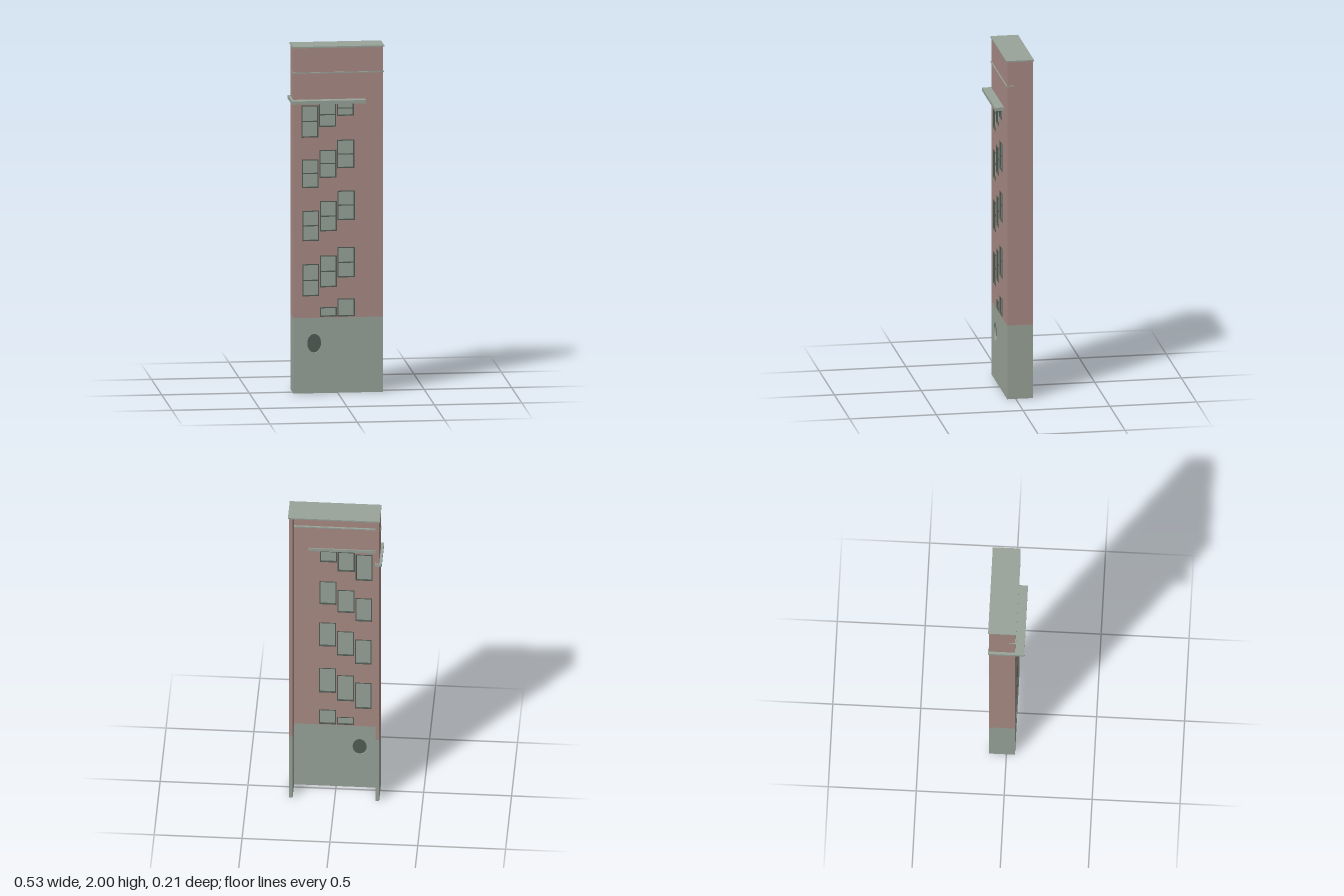
import * as THREE from 'three';

const material = (name, color) => {
  const m = new THREE.MeshStandardMaterial({ color });
  m.name = name;
  return m;
};

export function createModel() {
  const model = new THREE.Group();
  model.name = 'towerFacade';
  const brick = material('dusty red', 0xa88a84);
  const stone = material('grey green', 0x98a399);
  const dark = material('dark grey green', 0x505c54);

  const X0 = -0.253, X1 = 0.259, FRONT = 0.049, BACK = -0.098;
  const T = 0.024, SPLIT = 0.435, TOP = 1.992;

  const add = (name, geometry, mat, parent = model) => {
    const mesh = new THREE.Mesh(geometry, mat);
    mesh.name = name;
    parent.add(mesh);
    return mesh;
  };
  // Box given by its two opposite corners
  const box = (name, mat, x0, x1, y0, y1, z0, z1, parent) =>
    add(name, new THREE.BoxGeometry(x1 - x0, y1 - y0, z1 - z0), mat, parent)
      .position.set((x0 + x1) / 2, (y0 + y1) / 2, (z0 + z1) / 2);
  const rect = (x0, x1, y0, y1, Type = THREE.Shape) => new Type([
    new THREE.Vector2(x0, y0), new THREE.Vector2(x1, y0),
    new THREE.Vector2(x1, y1), new THREE.Vector2(x0, y1)]);
  // Wall-thick plate whose outer face is the front plane
  const plate = (name, shape, mat, parent) =>
    add(name, new THREE.ExtrudeGeometry(shape, { depth: T, bevelEnabled: false, curveSegments: 24 }), mat, parent)
      .position.z = FRONT - T;

  // Windows climb from column to column: [bottom, top, crossbar]
  const columns = [[-0.201, -0.106], [-0.101, -0.004], [0, 0.098]];
  const rows = [
    { dx: 0, cells: [null, [0.44, 0.495], [0.44, 0.543]] },
    { dx: 0, cells: [[0.56, 0.745, 0.65], [0.61, 0.793, 0.70], [0.665, 0.84, 0.75]] },
    { dx: 0, cells: [[0.878, 1.053, 0.965], [0.933, 1.107, 1.018], [0.995, 1.165, 1.08]] },
    { dx: -0.003, cells: [[1.184, 1.349, 1.267], [1.241, 1.402, 1.322], [1.295, 1.459, 1.375]] },
    { dx: -0.005, cells: [[1.475, 1.66, 1.567], [1.535, 1.673, 1.604], [1.597, 1.675, 1.64]] },
  ];
  const upper = rect(X0, X1, SPLIT, TOP);
  const windows = new THREE.Group();
  windows.name = 'windows';
  model.add(windows);
  const E = 0.006;
  for (const { dx, cells } of rows) {
    cells.forEach((cell, i) => {
      if (!cell) return;
      const [y0, y1, bar] = cell;
      const x0 = columns[i][0] + dx, x1 = columns[i][1] + dx;
      upper.holes.push(rect(x0, x1, y0, y1, THREE.Path));
      const frame = rect(x0, x1, y0, y1);
      frame.holes.push(rect(x0 + E, x1 - E, y0 + E, y1 - E, THREE.Path));
      plate('windowFrame', frame, dark, windows);
      box('windowPane', stone, x0 + E, x1 - E, y0 + E, y1 - E, 0.033, 0.038, windows);
      if (bar) box('windowCrossbar', dark, x0 + E, x1 - E, bar - 0.003, bar + 0.003, 0.038, 0.042, windows);
    });
  }

  // Front wall: brick above, stone base with an oval opening below
  plate('upperWall', upper, brick);
  const base = rect(X0, X1, 0, SPLIT);
  base.holes.push(new THREE.Path().absellipse(-0.134, 0.288, 0.04, 0.054, 0, Math.PI * 2));
  plate('baseWall', base, stone);
  const oval = add('ovalWindow', new THREE.CylinderGeometry(1, 1, 0.006, 48), dark);
  oval.rotation.x = Math.PI / 2;
  oval.scale.set(0.04, 1, 0.054);
  oval.position.set(-0.134, 0.288, 0.035);

  // Side walls, leaving the back open
  for (const [x0, x1] of [[X0, X0 + 0.02], [X1 - 0.02, X1]]) {
    box('sideWallUpper', brick, x0, x1, SPLIT, TOP, BACK, FRONT - T);
    box('sideWallBase', stone, x0, x1, 0, SPLIT, BACK, FRONT - T);
  }

  // Roof slab, thin string course, and cornice returning along one side
  box('roof', stone, -0.257, 0.266, TOP, 2, -0.104, 0.055);
  box('stringCourse', stone, -0.257, 0.263, 1.845, 1.852, 0.014, 0.055);
  box('corniceFront', stone, -0.268, 0.156, 1.676, 1.695, 0.02, 0.102);
  box('corniceSide', stone, -0.268, -0.23, 1.676, 1.695, -0.104, 0.02);

  return model;
}
